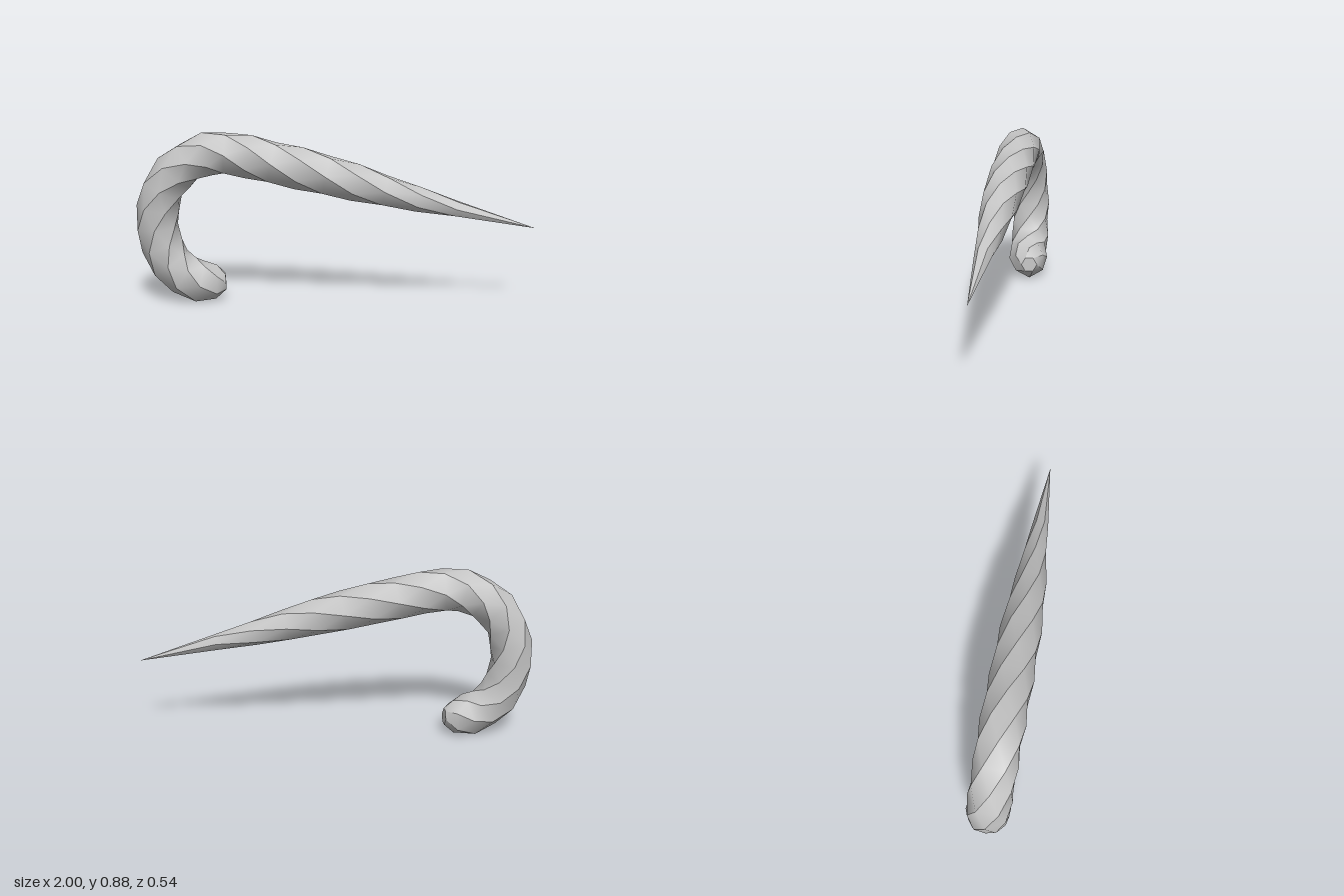
import * as THREE from 'three';

const SIDES = 6;
const TWIST = Math.PI / 6; // turn from one cross-section to the next

// Cross-sections from blunt end to tip: x, y, z, radius
const SECTIONS = [
  [-0.555, 0.105, -0.125, 0.045],
  [-0.605, 0.102, -0.13, 0.092],
  [-0.69, 0.11, -0.131, 0.112],
  [-0.77, 0.145, -0.142, 0.112],
  [-0.835, 0.21, -0.155, 0.11],
  [-0.878, 0.3, -0.162, 0.11],
  [-0.897, 0.4, -0.165, 0.11],
  [-0.895, 0.5, -0.16, 0.11],
  [-0.866, 0.6, -0.148, 0.11],
  [-0.81, 0.685, -0.132, 0.11],
  [-0.735, 0.745, -0.113, 0.11],
  [-0.645, 0.782, -0.092, 0.112],
  [-0.55, 0.788, -0.07, 0.112],
  [-0.44, 0.769, -0.045, 0.112],
  [-0.32, 0.742, -0.017, 0.111],
  [-0.19, 0.71, 0.012, 0.11],
  [-0.05, 0.677, 0.044, 0.106],
  [0.09, 0.638, 0.077, 0.097],
  [0.24, 0.598, 0.11, 0.083],
  [0.41, 0.55, 0.144, 0.065],
  [0.6, 0.503, 0.185, 0.043],
  [1.0, 0.4, 0.27, 0],
];

// Corners of every cross-section, turning right-handed about the path
function makeRings() {
  const centres = SECTIONS.map(([x, y, z]) => new THREE.Vector3(x, y, z));
  const last = centres.length - 1;
  const sideways = new THREE.Vector3(-0.21, 0, 0.98).normalize();
  return centres.map((centre, i) => {
    const along = centres[Math.min(i + 1, last)].clone().sub(centres[Math.max(i - 1, 0)]).normalize();
    const u = sideways.clone().addScaledVector(along, -sideways.dot(along)).normalize();
    const v = along.clone().cross(u);
    return Array.from({ length: SIDES + 1 }, (_, k) => {
      const angle = (i - 2) * TWIST + (k / SIDES) * Math.PI * 2;
      return centre.clone()
        .addScaledVector(u, Math.cos(angle) * SECTIONS[i][3])
        .addScaledVector(v, Math.sin(angle) * SECTIONS[i][3]);
    });
  });
}

function toGeometry(points, index) {
  const geometry = new THREE.BufferGeometry().setFromPoints(points);
  geometry.setIndex(index);
  geometry.computeVertexNormals();
  return geometry;
}

// Each spiral face is smooth along its length, with hard ridges between faces
function hornGeometry(rings) {
  const points = [];
  const index = [];
  for (let k = 0; k < SIDES; k++) {
    rings.forEach((ring, i) => {
      const a = points.length;
      points.push(ring[k], ring[k + 1]);
      if (i === rings.length - 1) return;
      index.push(a, a + 1, a + 2);
      if (i < rings.length - 2) index.push(a + 1, a + 3, a + 2);
    });
  }
  return toGeometry(points, index);
}

// Flat face closing the blunt end
function endGeometry(ring) {
  const index = [];
  for (let k = 1; k < SIDES - 1; k++) index.push(0, k + 1, k);
  return toGeometry(ring.slice(0, SIDES), index);
}

export function createModel() {
  const model = new THREE.Group();
  model.name = 'twistedHorn';
  const grey = new THREE.MeshStandardMaterial({ color: 0xc4c4c4 });
  grey.name = 'grey';

  const rings = makeRings();
  const horn = new THREE.Mesh(hornGeometry(rings), grey);
  horn.name = 'horn';
  const end = new THREE.Mesh(endGeometry(rings[0]), grey);
  end.name = 'bluntEnd';
  model.add(horn, end);
  return model;
}
